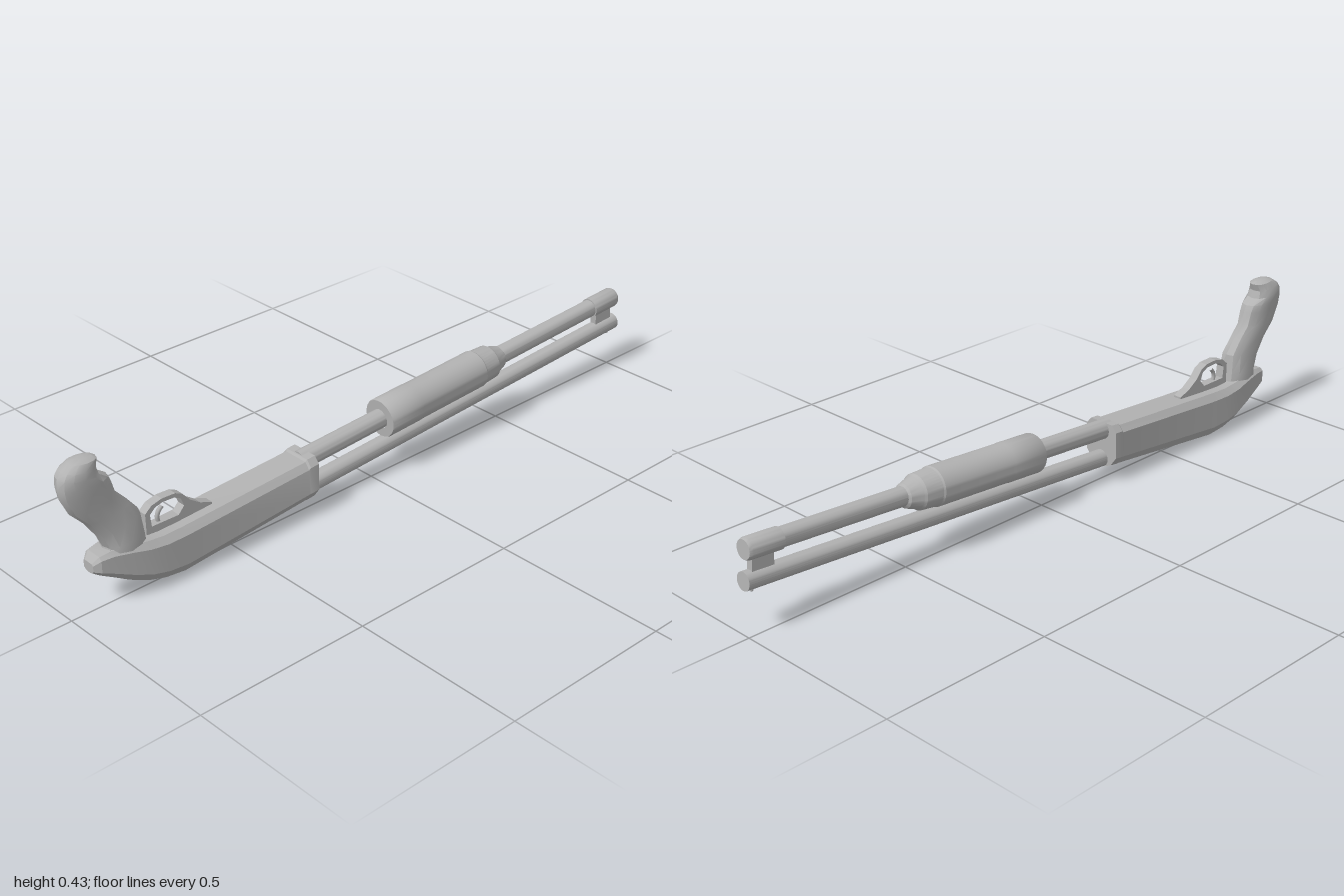
import * as THREE from 'three';
import { toCreasedNormals, mergeVertices } from 'three/addons/utils/BufferGeometryUtils.js';

const grey = new THREE.MeshStandardMaterial({ color: 0xb2b2b2 });
grey.name = 'plain grey';

function part(name, geometry) {
  const mesh = new THREE.Mesh(geometry, grey);
  mesh.name = name;
  return mesh;
}

// Skin a closed solid over rings of points, counterclockwise about the travel direction.
function loft(rings, crease) {
  const n = rings[0].length, pos = [], idx = [];
  rings.forEach(r => r.forEach(p => pos.push(p[0], p[1], p[2])));
  for (let i = 0; i < rings.length - 1; i++) {
    for (let j = 0; j < n; j++) {
      const a = i * n + j, b = i * n + (j + 1) % n;
      idx.push(a, b, b + n, a, b + n, a + n);
    }
  }
  const last = (rings.length - 1) * n;
  for (let j = 1; j < n - 1; j++) {
    idx.push(0, j + 1, j, last, last + j, last + j + 1);
  }
  const g = new THREE.BufferGeometry();
  g.setAttribute('position', new THREE.Float32BufferAttribute(pos, 3));
  g.setIndex(idx);
  return toCreasedNormals(g, crease);
}

// Turned part on a line through (x0, y0); the profile lists [distance, radius].
function turned(name, x0, y0, slope, profile, sides = 32) {
  const g = new THREE.LatheGeometry(profile.map(([t, r]) => new THREE.Vector2(r, t)), sides);
  const mesh = part(name, toCreasedNormals(g, 0.5));
  mesh.position.set(x0, y0, 0);
  mesh.rotation.z = Math.atan(slope) - Math.PI / 2;
  return mesh;
}

export function createModel() {
  const model = new THREE.Group();
  model.name = 'model';

  // Receiver: chamfered section swept from the rounded tail to the front collar.
  const half = [[0.72, 1], [1, 0.86], [1, 0.28], [0.66, 0.08], [0.22, 0]];
  const section = [...half, ...half.map(([u, v]) => [-u, v]).reverse()];
  const receiver = [ // x, bottom, top, half width
    [-0.932, 0.108, 0.137, 0.02], [-0.915, 0.096, 0.154, 0.033], [-0.88, 0.075, 0.16, 0.04],
    [-0.83, 0.045, 0.156, 0.047], [-0.78, 0.022, 0.148, 0.053], [-0.73, 0.008, 0.144, 0.055],
    [-0.67, 0.001, 0.146, 0.055], [-0.27, 0.041, 0.170, 0.054], [-0.265, 0.041, 0.176, 0.056],
    [-0.238, 0.044, 0.178, 0.056],
  ];
  model.add(part('receiver', loft(receiver.map(([x, b, t, w]) =>
    section.map(([u, v]) => [x, b + (t - b) * v, u * w])), 0.4)));

  // Grip: rounded sections given by back point, front point and half width.
  const grip = [
    [-0.895, 0.125, -0.765, 0.125, 0.044], [-0.888, 0.163, -0.772, 0.172, 0.043],
    [-0.905, 0.202, -0.778, 0.228, 0.037], [-0.937, 0.25, -0.808, 0.266, 0.034],
    [-0.974, 0.29, -0.842, 0.304, 0.035], [-0.996, 0.338, -0.852, 0.342, 0.037],
    [-1.0, 0.366, -0.862, 0.362, 0.039], [-0.997, 0.395, -0.888, 0.378, 0.039],
    [-0.986, 0.411, -0.895, 0.4, 0.036], [-0.965, 0.425, -0.888, 0.421, 0.027],
    [-0.942, 0.43, -0.9, 0.428, 0.01],
  ];
  const round = v => Math.sign(v) * Math.abs(v) ** 0.85;
  model.add(part('grip', loft(grip.map(([bx, by, fx, fy, w]) => {
    const ring = [];
    for (let i = 0; i < 12; i++) {
      const a = i / 12 * Math.PI * 2, s = round(Math.sin(a)) / 2;
      ring.push([(bx + fx) / 2 + (fx - bx) * s, (by + fy) / 2 + (fy - by) * s, w * round(Math.cos(a))]);
    }
    return ring;
  }), 0.5)));

  // Trigger guard: a thin loop with a tapering foot on the receiver.
  const points = list => list.map(([x, y]) => new THREE.Vector2(x, y));
  const outline = new THREE.Shape(points([
    [-0.765, 0.135], [-0.56, 0.14], [-0.56, 0.158], [-0.597, 0.172], [-0.628, 0.193],
    [-0.65, 0.219], [-0.672, 0.23], [-0.714, 0.232], [-0.746, 0.224], [-0.766, 0.207],
  ]));
  outline.holes.push(new THREE.Path(points([
    [-0.748, 0.165], [-0.752, 0.2], [-0.735, 0.215], [-0.712, 0.221], [-0.676, 0.219],
    [-0.656, 0.208], [-0.647, 0.184], [-0.665, 0.164],
  ])));
  const guardGeometry = new THREE.ExtrudeGeometry(outline, { depth: 0.026, bevelEnabled: false });
  guardGeometry.translate(0, 0, -0.013);
  model.add(part('triggerGuard', guardGeometry));

  // Trigger
  const hook = new THREE.CatmullRomCurve3([[-0.715, 0.15], [-0.722, 0.175], [-0.718, 0.19], [-0.706, 0.203]]
    .map(([x, y]) => new THREE.Vector3(x, y, 0)));
  model.add(part('trigger', new THREE.TubeGeometry(hook, 10, 0.006, 8)));

  // Barrel and magazine tube
  model.add(turned('barrel', -0.26, 0.066, 0.067, [
    [0, 0], [0, 0.025], [1.26, 0.025], [1.26, 0]]));
  const slope = 0.064;
  model.add(turned('magazineTube', -0.26, 0.153, slope, [
    [0, 0], [0, 0.028], [1.15, 0.026], [1.15, 0.0295], [1.245, 0.0295], [1.253, 0.026], [1.253, 0]]));

  // Sliding fore-end with a stepped nose
  model.add(turned('foreEnd', 0.033, 0.171, slope, [
    [0, 0.028], [0, 0.054], [0.004, 0.056], [0.115, 0.056], [0.12, 0.055], [0.365, 0.055],
    [0.37, 0.052], [0.422, 0.049], [0.428, 0.044], [0.462, 0.033], [0.468, 0.026]], 40));

  // Lug joining the two tubes near the muzzle
  const lug = part('barrelLug', new THREE.BoxGeometry(0.065, 0.06, 0.02));
  lug.position.set(0.943, 0.187, 0);
  lug.rotation.z = Math.atan(slope);
  model.add(lug);

  // Bead sight
  const bead = part('beadSight', new THREE.SphereGeometry(0.005, 12, 8));
  bead.position.set(0.975, 0.12, 0);
  model.add(bead);

  // The whole body is turned very slightly about the vertical.
  model.rotation.y = -0.0105;
  return model;
}
